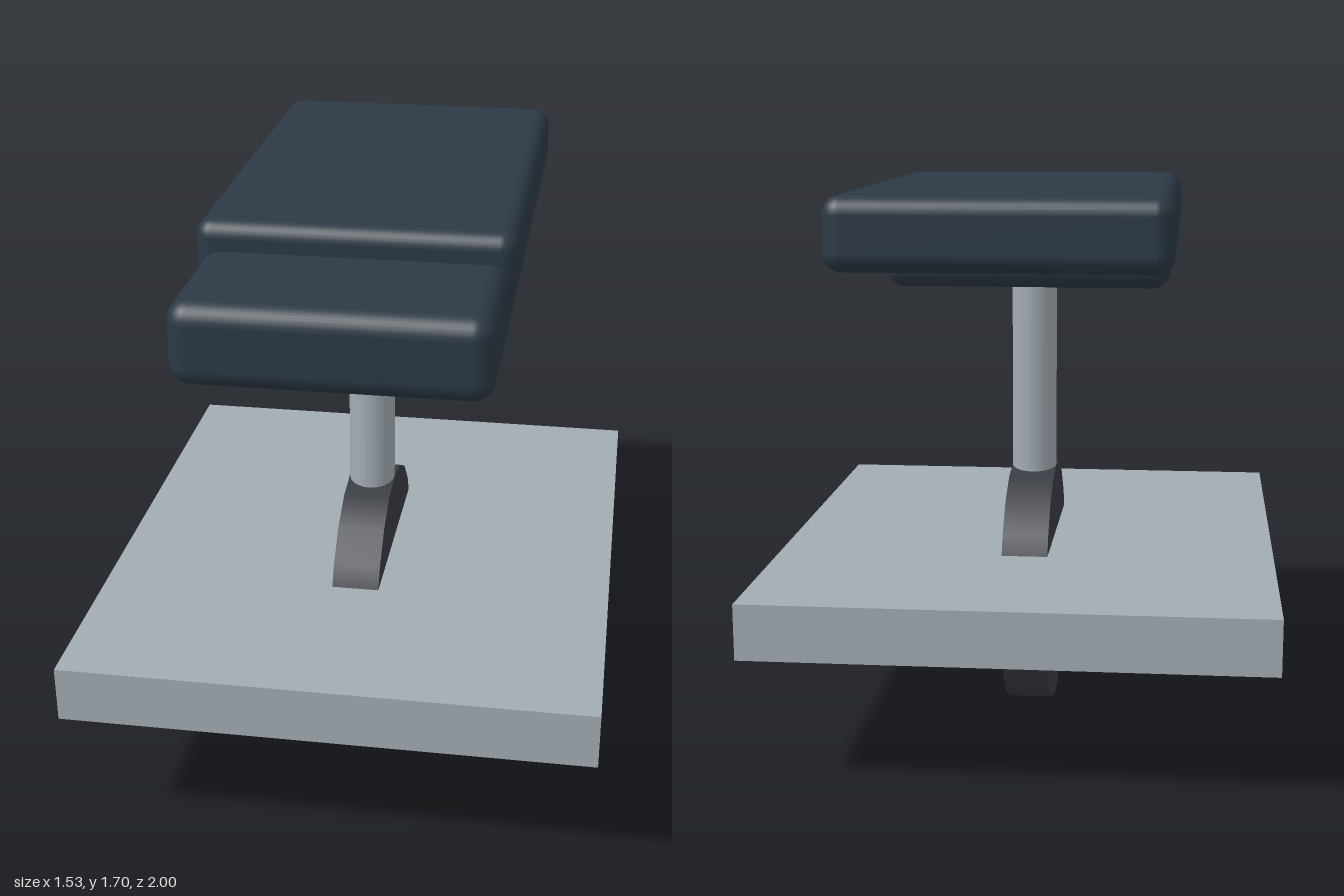
import * as THREE from 'three';
import { RoundedBoxGeometry } from 'three/addons/geometries/RoundedBoxGeometry.js';

const mat = (color) => new THREE.MeshStandardMaterial({ color });

export function createModel() {
  const model = new THREE.Group();
  model.name = 'paddedStool';
  const padding = mat(0x2c3945);
  const metal = mat(0xa3acb3);
  const rubber = mat(0x393c42);

  function add(name, geometry, material, x, y, z) {
    const mesh = new THREE.Mesh(geometry, material);
    mesh.name = name;
    mesh.position.set(x, y, z);
    model.add(mesh);
    return mesh;
  }

  // Rounded cushion given by its half width and its y and z extents
  function cushion(name, halfWidth, y0, y1, z0, z1, radius) {
    const geometry = new RoundedBoxGeometry(halfWidth * 2, y1 - y0, z1 - z0, 4, radius);
    add(name, geometry, padding, 0, (y0 + y1) / 2, (z0 + z1) / 2);
  }

  // Two overlapping cushions on top, and a crossbar under the platform
  cushion('upperCushion', 0.457, 1.5, 1.7, -1, 0.425, 0.05);
  cushion('lowerCushion', 0.437, 1.375, 1.615, -0.2, 0.857, 0.06);
  cushion('underBar', 0.65, 0.29, 0.49, -0.12, 0.29, 0.05);

  // Flat platform
  add('platform', new THREE.BoxGeometry(1.53, 0.165, 1.835), metal, 0, 0.4725, 0.0825);

  // Wheel through the platform, axle along x
  const wheel = new THREE.CylinderGeometry(0.387, 0.387, 0.142, 20).rotateZ(Math.PI / 2);
  add('wheel', wheel, rubber, 0, 0.387, 0.085);

  // Post from the wheel up to the cushions
  add('post', new THREE.CylinderGeometry(0.071, 0.071, 0.82, 24), metal, 0, 1.0, 0.085);

  return model;
}
